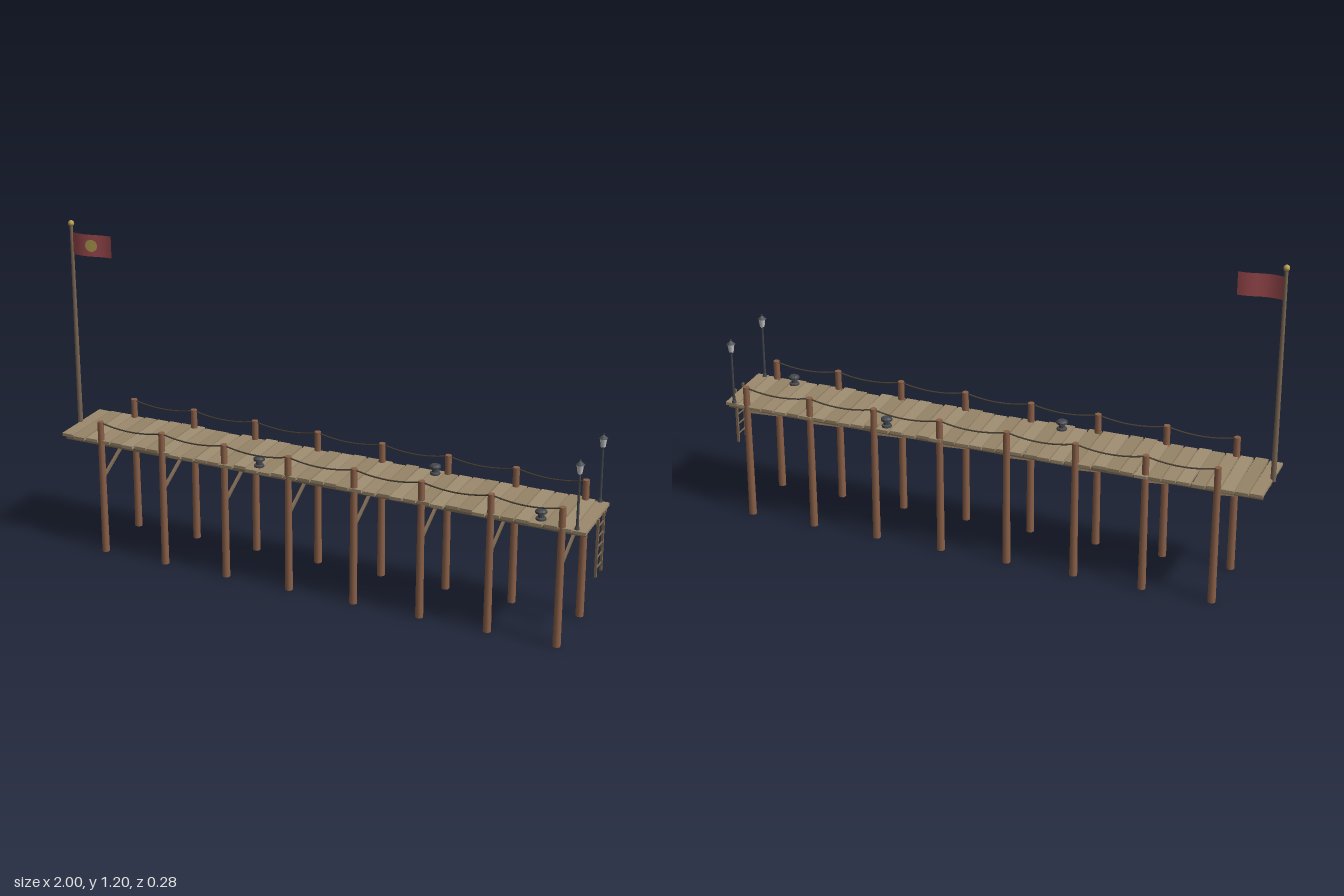
import * as THREE from 'three';

const mat = (color, extra = {}) => {
  const m = new THREE.MeshStandardMaterial(extra);
  m.color.set(color);
  return m;
};
const pileWood = mat(0x8a6048);
const plankWoods = [0x9c8a6c, 0x968467, 0xa18f72].map((c) => mat(c));
const beamWood = mat(0x7c6850);
const poleWood = mat(0x786552);
const iron = mat(0x43464b);
const ropeMat = mat(0x4a4238);
const gold = mat(0xb09a50);
const cloth = mat(0xa04c50, { side: THREE.DoubleSide });
const glass = mat(0xffffff);

let seed = 11;
const jitter = (a) => {
  seed = (seed * 16807) % 2147483647;
  return (seed / 2147483647 - 0.5) * 2 * a;
};

function add(parent, name, geometry, material, x = 0, y = 0, z = 0) {
  const mesh = new THREE.Mesh(geometry, material);
  mesh.name = name;
  mesh.position.set(x, y, z);
  parent.add(mesh);
  return mesh;
}

function group(parent, name, x = 0, y = 0, z = 0) {
  const g = new THREE.Group();
  g.name = name;
  g.position.set(x, y, z);
  parent.add(g);
  return g;
}

const DECK = 0.438;
const SIDE = 0.12;
const PILES = 8;
const pileX = (i) => -0.828 + i * 0.247;

function buildDeck(root) {
  const deck = group(root, 'deck');
  const count = 40;
  const pitch = 1.975 / count;
  for (let i = 0; i < count; i++) {
    const plank = add(deck, 'plank', new THREE.BoxGeometry(pitch - 0.005, 0.011, 0.262 + jitter(0.008)),
      plankWoods[i % 3], -0.988 + (i + 0.5) * pitch, DECK - 0.0055 + jitter(0.001), jitter(0.006));
    plank.rotation.y = jitter(0.018);
  }
  // lengthwise beams under the planks
  for (const z of [-0.104, 0, 0.104]) {
    add(deck, 'stringer', new THREE.BoxGeometry(1.96, 0.016, 0.012), beamWood, 0, 0.419, z);
  }
}

function buildPiles(root) {
  const piles = group(root, 'piles');
  const pile = new THREE.CylinderGeometry(0.0115, 0.014, 0.508, 10);
  const dz = 0.215, dy = 0.112;
  const brace = new THREE.BoxGeometry(0.009, 0.01, Math.hypot(dz, dy));
  for (let i = 0; i < PILES; i++) {
    for (const s of [-1, 1]) add(piles, 'pile', pile, pileWood, pileX(i), 0.254, s * SIDE);
    // diagonal brace, low at the front and high at the back
    add(piles, 'brace', brace, beamWood, pileX(i), 0.35, 0).rotation.x = Math.atan2(dy, dz);
  }
}

function buildRopes(root) {
  const ropes = group(root, 'ropes');
  for (const s of [-1, 1]) {
    for (let i = 0; i < PILES - 1; i++) {
      const pts = [];
      for (let k = 0; k <= 6; k++) {
        const t = k / 6;
        pts.push(new THREE.Vector3(pileX(i) + t * 0.247, 0.504 - 0.064 * t * (1 - t), s * SIDE));
      }
      add(ropes, 'rope', new THREE.TubeGeometry(new THREE.CatmullRomCurve3(pts), 12, 0.0028, 5), ropeMat);
    }
  }
}

// flared mooring post
function buildBollard(root, x, z) {
  const profile = [[0, 0], [0.018, 0], [0.018, 0.006], [0.011, 0.009], [0.011, 0.02],
    [0.02, 0.024], [0.02, 0.031], [0.013, 0.036], [0, 0.036]].map(([r, y]) => new THREE.Vector2(r, y));
  add(root, 'bollard', new THREE.LatheGeometry(profile, 10), mat(0x43464b, { flatShading: true }), x, DECK, z);
}

function buildLamp(root, z) {
  const lamp = group(root, 'lampPost', 0.952, DECK, z);
  add(lamp, 'lampBase', new THREE.CylinderGeometry(0.006, 0.009, 0.012, 8), iron, 0, 0.006, 0);
  add(lamp, 'lampPole', new THREE.CylinderGeometry(0.0036, 0.005, 0.196, 8), iron, 0, 0.098, 0);
  add(lamp, 'lanternGlass', new THREE.CylinderGeometry(0.0125, 0.008, 0.032, 6), glass, 0, 0.212, 0);
  add(lamp, 'lanternFloor', new THREE.CylinderGeometry(0.009, 0.006, 0.004, 6), iron, 0, 0.196, 0);
  add(lamp, 'lanternRoof', new THREE.ConeGeometry(0.0165, 0.015, 6), iron, 0, 0.2355, 0);
  add(lamp, 'lanternKnob', new THREE.SphereGeometry(0.003, 8, 6), iron, 0, 0.243, 0);
}

function buildFlag(root) {
  const flagpole = group(root, 'flagpole', -0.986, 0, 0);
  add(flagpole, 'pole', new THREE.CylinderGeometry(0.006, 0.0095, 0.75, 10), poleWood, 0, 0.805, 0);
  add(flagpole, 'finial', new THREE.SphereGeometry(0.011, 14, 10), gold, 0, 1.188, 0);
  // cloth and its emblem follow the same gentle wave
  const wave = (x) => 0.007 * Math.sin((x / 0.15) * Math.PI * 1.6);
  const bend = (geometry, x0, y0, lift) => {
    geometry.translate(x0, y0, 0);
    const p = geometry.attributes.position;
    for (let i = 0; i < p.count; i++) p.setZ(i, p.getZ(i) + wave(p.getX(i)) + lift);
    geometry.computeVertexNormals();
    return geometry;
  };
  add(flagpole, 'flag', bend(new THREE.PlaneGeometry(0.15, 0.08, 16, 1), 0.08, 1.117, 0), cloth);
  add(flagpole, 'emblem', bend(new THREE.RingGeometry(0.0005, 0.022, 20, 4), 0.08, 1.117, 0.002), gold);
}

function buildLadder(root) {
  const ladder = group(root, 'ladder', 0.994, 0, 0);
  for (const s of [-1, 1]) {
    add(ladder, 'rail', new THREE.BoxGeometry(0.008, 0.21, 0.008), beamWood, 0, 0.338, s * 0.029);
  }
  const rung = new THREE.CylinderGeometry(0.003, 0.003, 0.058, 6).rotateX(Math.PI / 2);
  for (let i = 0; i < 5; i++) add(ladder, 'rung', rung, beamWood, 0, 0.264 + i * 0.0378, 0);
}

export function createModel() {
  const root = new THREE.Group();
  root.name = 'pier';
  buildDeck(root);
  buildPiles(root);
  buildRopes(root);
  for (const [x, z] of [[-0.21, 0.096], [0.367, -0.1], [0.82, 0.096]]) buildBollard(root, x, z);
  for (const s of [-1, 1]) buildLamp(root, s * SIDE);
  buildFlag(root);
  buildLadder(root);
  return root;
}
